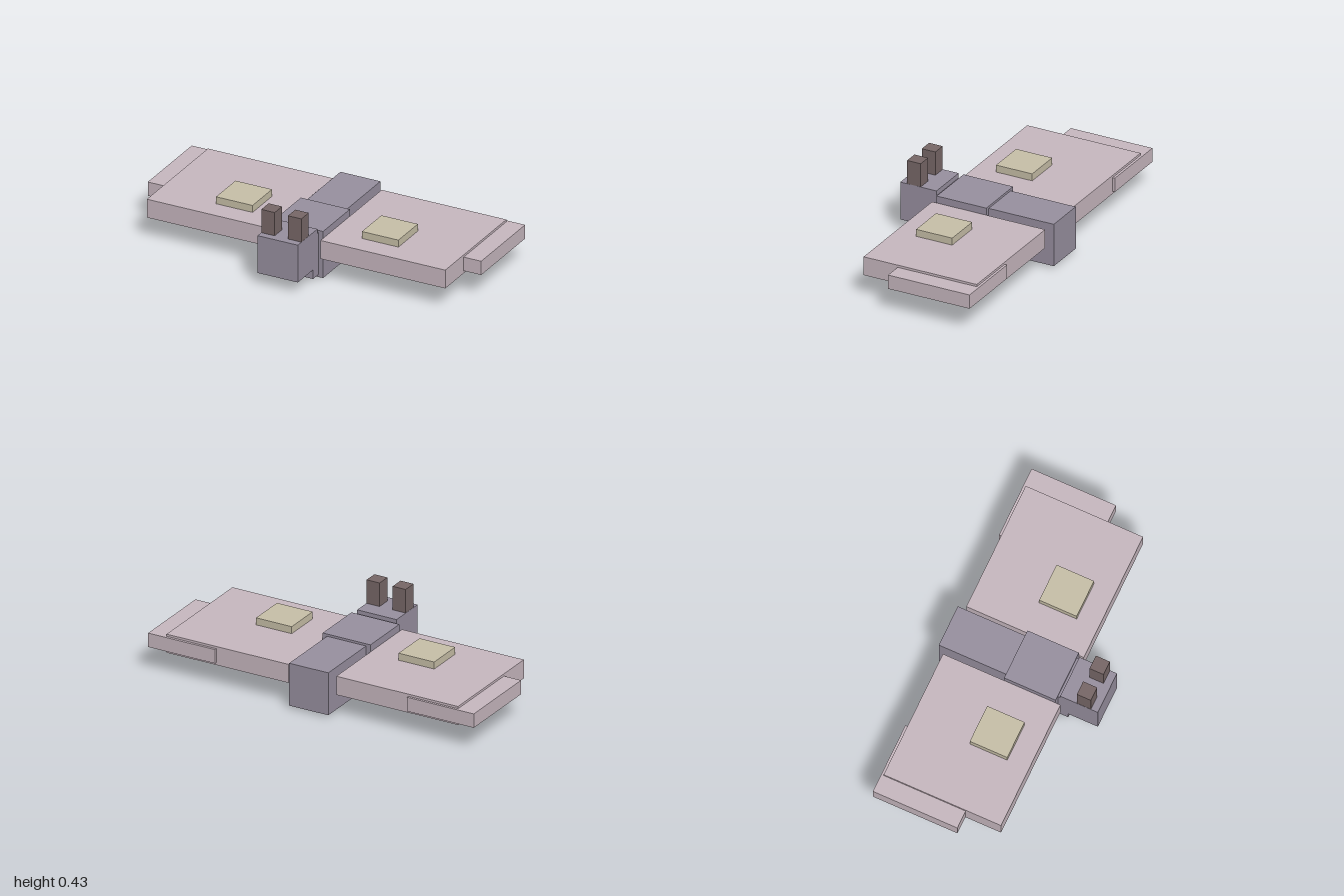
import * as THREE from 'three';

const material = (name, color) => {
  const m = new THREE.MeshStandardMaterial({ color });
  m.name = name;
  return m;
};

export function createModel() {
  const model = new THREE.Group();
  model.name = 'blockMoth';
  const body = material('mauve grey', 0x9890a0);
  const wing = material('pale pink', 0xc8b8c0);
  const spot = material('cream', 0xc8c0a8);
  const dark = material('brown', 0x786868);

  // Box spanning [min, max] on each axis
  const box = (name, mat, [x0, x1], [y0, y1], [z0, z1]) => {
    const mesh = new THREE.Mesh(new THREE.BoxGeometry(x1 - x0, y1 - y0, z1 - z0), mat);
    mesh.position.set((x0 + x1) / 2, (y0 + y1) / 2, (z0 + z1) / 2);
    mesh.name = name;
    model.add(mesh);
  };

  // Body along the centre line
  box('abdomen', body, [-0.12, 0.12], [0.015, 0.262], [-0.463, 0.291]);
  box('thorax', body, [-0.147, 0.147], [0, 0.275], [-0.07, 0.23]);
  box('head', body, [-0.121, 0.121], [0.07, 0.29], [0.245, 0.464]);

  // Mirrored wings, wing tips, wing spots and antennae
  for (const side of [1, -1]) {
    const label = side > 0 ? 'left' : 'right';
    const pair = (part, mat, [a, b], y, z) =>
      box(label + part, mat, side > 0 ? [a, b] : [-b, -a], y, z);
    pair('Wing', wing, [0.147, 0.895], [0.126, 0.234], [-0.426, 0.258]);
    pair('WingTip', wing, [0.59, 1], [0.14, 0.221], [-0.44, 0.052]);
    pair('WingSpot', spot, [0.328, 0.547], [0.22, 0.275], [-0.085, 0.133]);
    pair('Antenna', dark, [0.04, 0.12], [0.28, 0.427], [0.341, 0.423]);
  }
  return model;
}
